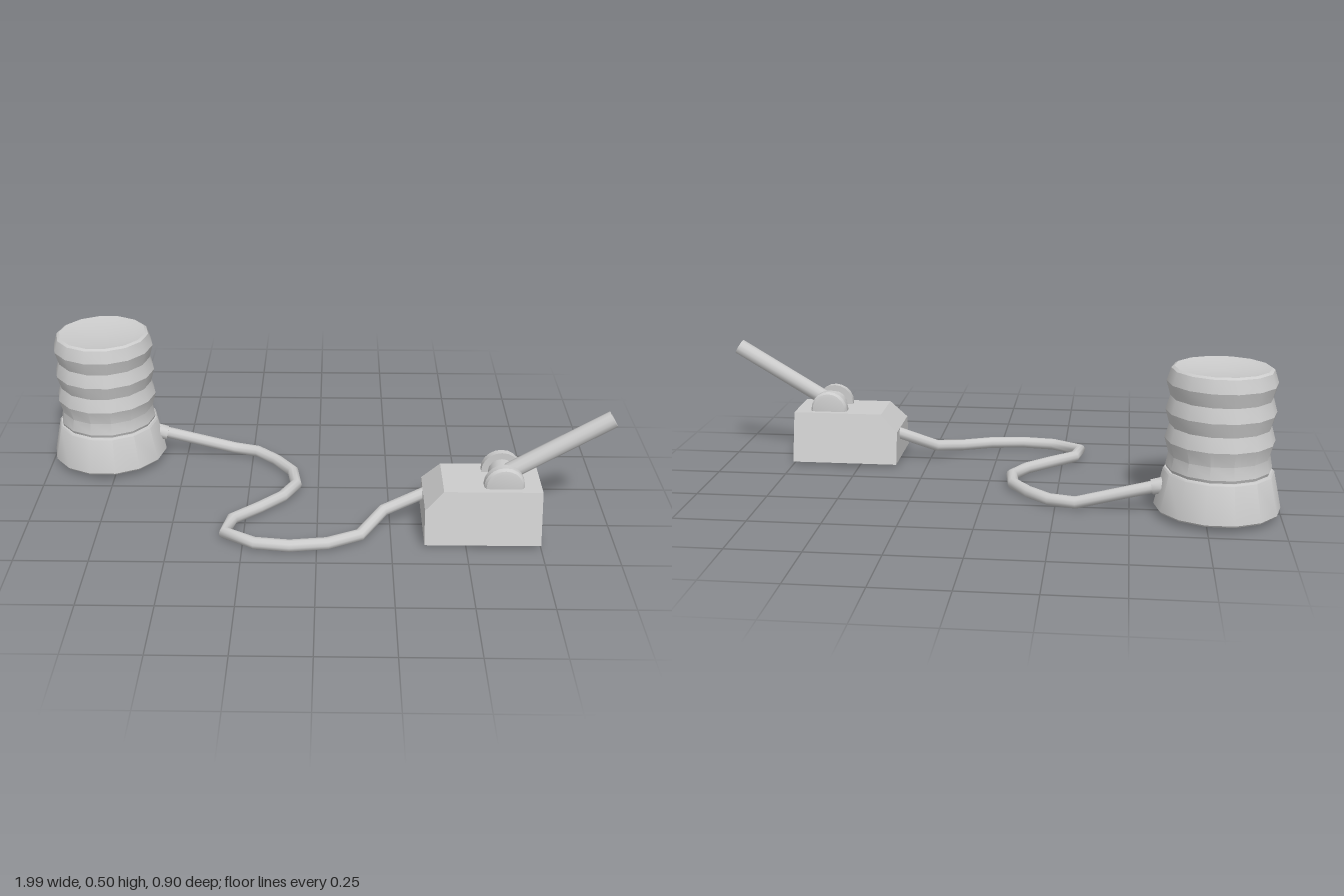
import * as THREE from 'three';
import { toCreasedNormals } from 'three/addons/utils/BufferGeometryUtils.js';

const material = new THREE.MeshStandardMaterial({ color: 0xcccccc });

function add(parent, name, geometry, x = 0, y = 0, z = 0) {
  const mesh = new THREE.Mesh(geometry, material);
  mesh.name = name;
  mesh.position.set(x, y, z);
  parent.add(mesh);
  return mesh;
}

// Turned part, smooth around and crisp between bands; profile runs bottom to top
function turned(profile, sides, crease = 0.5) {
  const points = profile.map(([r, y]) => new THREE.Vector2(r, y));
  return toCreasedNormals(new THREE.LatheGeometry(points, sides, Math.PI / 2), crease);
}

// Polyline whose samples fall exactly on its corners, with mitred tangents
class Polyline extends THREE.Curve {
  constructor(points) {
    super();
    this.points = points;
  }
  at(i) {
    return this.points[THREE.MathUtils.clamp(i, 0, this.points.length - 1)];
  }
  getPointAt(u) {
    return this.at(Math.round(u * (this.points.length - 1))).clone();
  }
  getTangentAt(u) {
    const i = Math.round(u * (this.points.length - 1));
    const before = this.at(i).clone().sub(this.at(i - 1)).normalize();
    const after = this.at(i + 1).clone().sub(this.at(i)).normalize();
    return before.add(after).normalize();
  }
}

function createCanister() {
  const group = new THREE.Group();
  group.name = 'canister';
  group.position.set(-0.79, 0, -0.25);

  add(group, 'canisterBase', turned([
    [0, 0.022], [0.206, 0.022], [0.21, 0.028], [0.183, 0.152], [0.178, 0.158], [0, 0.158],
  ], 14));

  // Ribbed body with a shallow dished lid
  const profile = [[0.17, 0.155], [0.175, 0.168], [0.167, 0.21]];
  for (let i = 0; i < 3; i++) {
    profile.push([0.181, 0.26 + i * 0.0965], [0.167, 0.308 + i * 0.0965]);
  }
  profile[profile.length - 1] = [0.167, 0.497];
  profile.push([0.157, 0.503], [0.122, 0.497], [0, 0.488]);
  add(group, 'ribbedBody', turned(profile, 14));

  // Cable socket
  const socket = add(group, 'cableSocket', toCreasedNormals(
    new THREE.CylinderGeometry(0.027, 0.03, 0.045, 8), 0.9), 0.195, 0.092, -0.012);
  socket.rotation.z = -Math.PI / 2 - 0.2;
  return group;
}

function createCable() {
  const path = [
    [-0.62, 0.1, -0.264], [-0.32, 0.024, -0.264], [-0.23, 0.023, -0.238], [-0.157, 0.023, -0.17],
    [-0.094, 0.023, -0.083], [-0.08, 0.023, 0.013], [-0.126, 0.023, 0.1], [-0.206, 0.023, 0.18],
    [-0.293, 0.023, 0.257], [-0.312, 0.023, 0.348], [-0.206, 0.023, 0.412], [-0.09, 0.023, 0.427],
    [0.035, 0.023, 0.41], [0.145, 0.025, 0.358], [0.227, 0.055, 0.245], [0.38, 0.115, 0.215],
  ].map((p) => new THREE.Vector3(...p));
  return new THREE.TubeGeometry(new Polyline(path), path.length - 1, 0.021, 10);
}

function createControlBox() {
  const group = new THREE.Group();
  group.name = 'controlBox';
  const zMid = 0.259;

  // Housing: chamfered side profile, narrowing towards the top
  const bottom = 0.014, top = 0.193;
  const shape = new THREE.Shape([
    [0.36, bottom], [0.75, bottom], [0.75, top], [0.422, top], [0.36, 0.13],
  ].map(([x, y]) => new THREE.Vector2(x, y)));
  const housing = new THREE.ExtrudeGeometry(shape, { depth: 2, bevelEnabled: false });
  housing.translate(0, 0, -1);
  const pos = housing.attributes.position;
  for (let i = 0; i < pos.count; i++) {
    const t = (pos.getY(i) - bottom) / (top - bottom);
    pos.setZ(i, zMid + pos.getZ(i) * THREE.MathUtils.lerp(0.144, 0.099, t));
  }
  housing.computeVertexNormals();
  add(group, 'housing', housing);

  // Pair of round lugs with softened outer rims, and the axle between them
  const lug = turned([
    [0, 0], [0.068, 0], [0.068, 0.024], [0.061, 0.034], [0.05, 0.037], [0, 0.037],
  ], 20);
  for (const side of [-1, 1]) {
    const mesh = add(group, side > 0 ? 'frontLug' : 'backLug', lug, 0.625, 0.198, zMid + side * 0.041);
    mesh.rotation.x = side * Math.PI / 2;
  }
  const axle = add(group, 'axle', toCreasedNormals(
    new THREE.CylinderGeometry(0.045, 0.045, 0.09, 16), 0.5), 0.625, 0.198, zMid);
  axle.rotation.x = Math.PI / 2;

  // Tilted lever with a hollow tip
  const lever = add(group, 'lever', turned([
    [0, 0], [0.029, 0], [0.029, 0.405], [0.023, 0.405], [0.023, 0.375], [0, 0.375],
  ], 12, 0.6), 0.63, 0.21, zMid);
  lever.rotation.z = -Math.PI / 2 + 0.54;
  return group;
}

export function createModel() {
  const model = new THREE.Group();
  model.name = 'canisterWithLeverControl';
  model.add(createCanister(), createControlBox());
  add(model, 'cable', createCable());
  return model;
}
